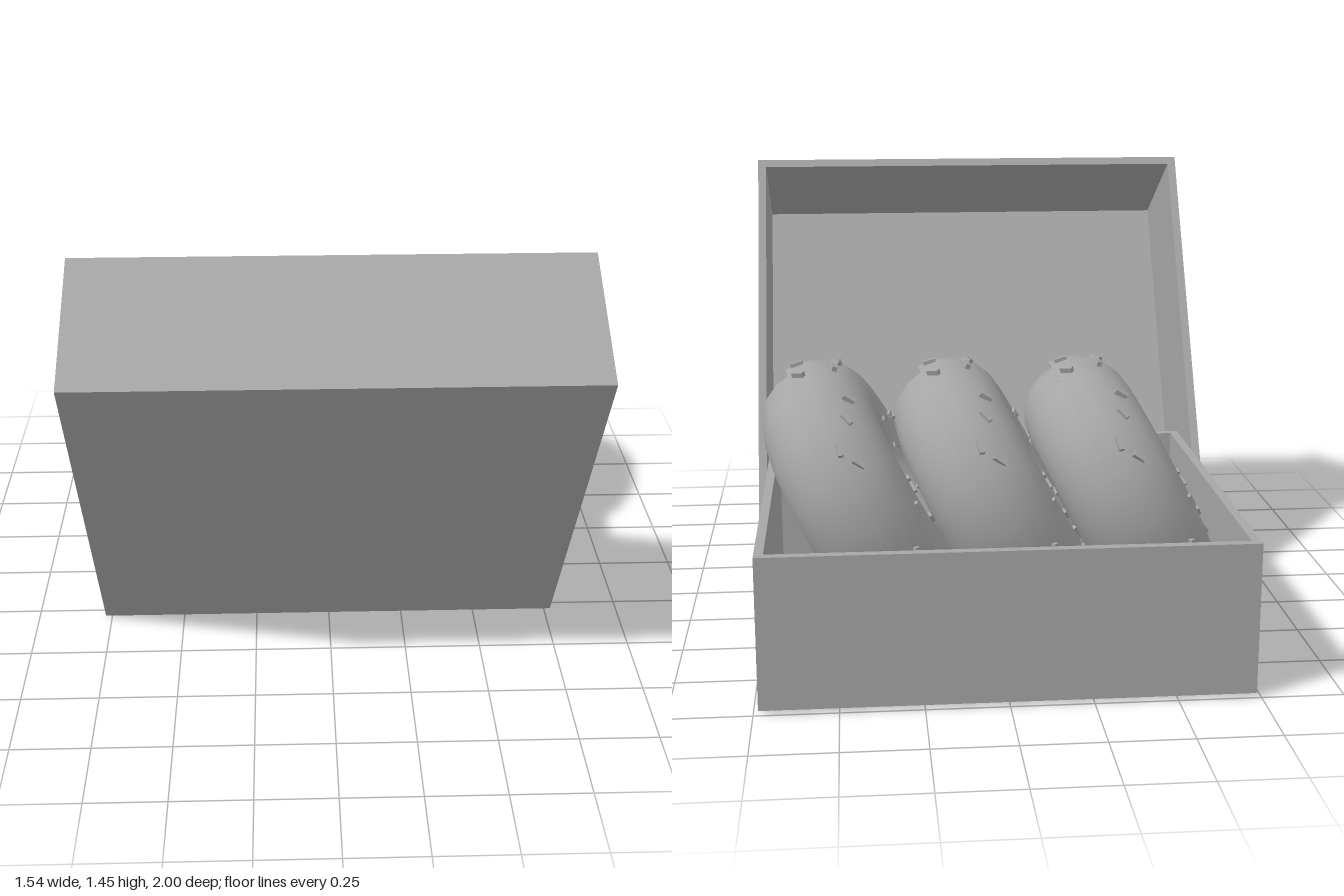
import * as THREE from 'three';

const grey = new THREE.MeshStandardMaterial({ color: 0xa6a6a6 });
grey.name = 'plain grey';
const greyTwoSided = new THREE.MeshStandardMaterial({ color: 0xa6a6a6, side: THREE.DoubleSide });
greyTwoSided.name = 'plain grey two sided';

// Box given by its lower and upper corners
function panel(parent, name, [x0, y0, z0], [x1, y1, z1]) {
  const mesh = new THREE.Mesh(new THREE.BoxGeometry(x1 - x0, y1 - y0, z1 - z0), grey);
  mesh.position.set((x0 + x1) / 2, (y0 + y1) / 2, (z0 + z1) / 2);
  mesh.name = name;
  parent.add(mesh);
}

function createTray() {
  const tray = new THREE.Group();
  tray.name = 'boxTray';
  const w = 0.735, t = 0.028, y0 = 0.015, y1 = 0.483, zb = -1, zf = 0.24;
  panel(tray, 'trayFloor', [-w, y0, zb], [w, y0 + t, zf]);
  panel(tray, 'trayBack', [-w, y0 + t, zb], [w, y1, zb + t]);
  panel(tray, 'trayFront', [-w, y0 + t, zf - t], [w, y1, zf]);
  for (const s of [-1, 1]) {
    const a = s < 0 ? -w : w - t;
    panel(tray, 'traySide', [a, y0 + t, zb + t], [a + t, y1, zf - t]);
  }
  return tray;
}

// Lid open at the hinge end, tipped forward about its lower edge
function createLid() {
  const lid = new THREE.Group();
  lid.name = 'boxLid';
  const w = 0.772, t = 0.028, h = 1.405, d = 0.465;
  panel(lid, 'lidPanel', [-w, 0, -t], [w, h, 0]);
  panel(lid, 'lidEnd', [-w, h - t, -d], [w, h, -t]);
  for (const s of [-1, 1]) {
    const a = s < 0 ? -w : w - t;
    panel(lid, 'lidSide', [a, 0, -d], [a + t, h - t, -t]);
  }
  lid.position.z = 0.285;
  lid.rotation.x = 0.533;
  return lid;
}

const RING = 0.275, DOUGH = 0.168, ICING = 0.19, SEGMENTS = 16;

// Part of a ring tube from angle a0 to a1 of its cross-section
function tubeLathe(radius, a0, a1, steps) {
  const pts = [];
  for (let i = 0; i <= steps; i++) {
    const a = a0 + (a1 - a0) * i / steps;
    pts.push(new THREE.Vector2(RING + radius * Math.cos(a), radius * Math.sin(a)));
  }
  return new THREE.LatheGeometry(pts, SEGMENTS);
}

// Flat underside of the icing edge
function lipLathe(x0, x1) {
  return new THREE.LatheGeometry([new THREE.Vector2(x0, 0), new THREE.Vector2(x1, 0)], SEGMENTS);
}

function createDoughnut() {
  const doughnut = new THREE.Group();
  doughnut.name = 'doughnut';
  const add = (name, geometry, material) => {
    const mesh = new THREE.Mesh(geometry, material);
    mesh.name = name;
    doughnut.add(mesh);
    return mesh;
  };
  add('dough', tubeLathe(DOUGH, Math.PI, 2 * Math.PI, 10), grey);
  add('icing', tubeLathe(ICING, 0, Math.PI, 10), grey);
  add('icingOuterLip', lipLathe(RING + DOUGH, RING + ICING), greyTwoSided);
  add('icingInnerLip', lipLathe(RING - ICING, RING - DOUGH), greyTwoSided);

  // Sprinkles lying on the icing
  const sprinkle = new THREE.BoxGeometry(0.04, 0.016, 0.016);
  const up = new THREE.Vector3(0, 1, 0);
  const count = 38;
  for (let i = 0; i < count; i++) {
    const around = i * 2.39996;
    const a = 0.2 + 2.1 * ((i * 0.618 + i * i * 0.13) % 1);
    const normal = new THREE.Vector3(Math.cos(a) * Math.cos(around), Math.sin(a), Math.cos(a) * Math.sin(around));
    const mesh = add('sprinkle', sprinkle, grey);
    mesh.position.set(RING * Math.cos(around), 0, RING * Math.sin(around)).addScaledVector(normal, ICING);
    mesh.quaternion.setFromUnitVectors(up, normal);
    mesh.rotateY(i * 1.9);
  }
  // Icing faces right and upwards
  doughnut.rotation.z = THREE.MathUtils.degToRad(62);
  return doughnut;
}

export function createModel() {
  const model = new THREE.Group();
  model.name = 'doughnutBox';
  model.add(createTray(), createLid());
  for (let i = 0; i < 3; i++) {
    const doughnut = createDoughnut();
    doughnut.position.set(-0.402 + 0.418 * i, 0.475, -0.38);
    model.add(doughnut);
  }
  return model;
}
